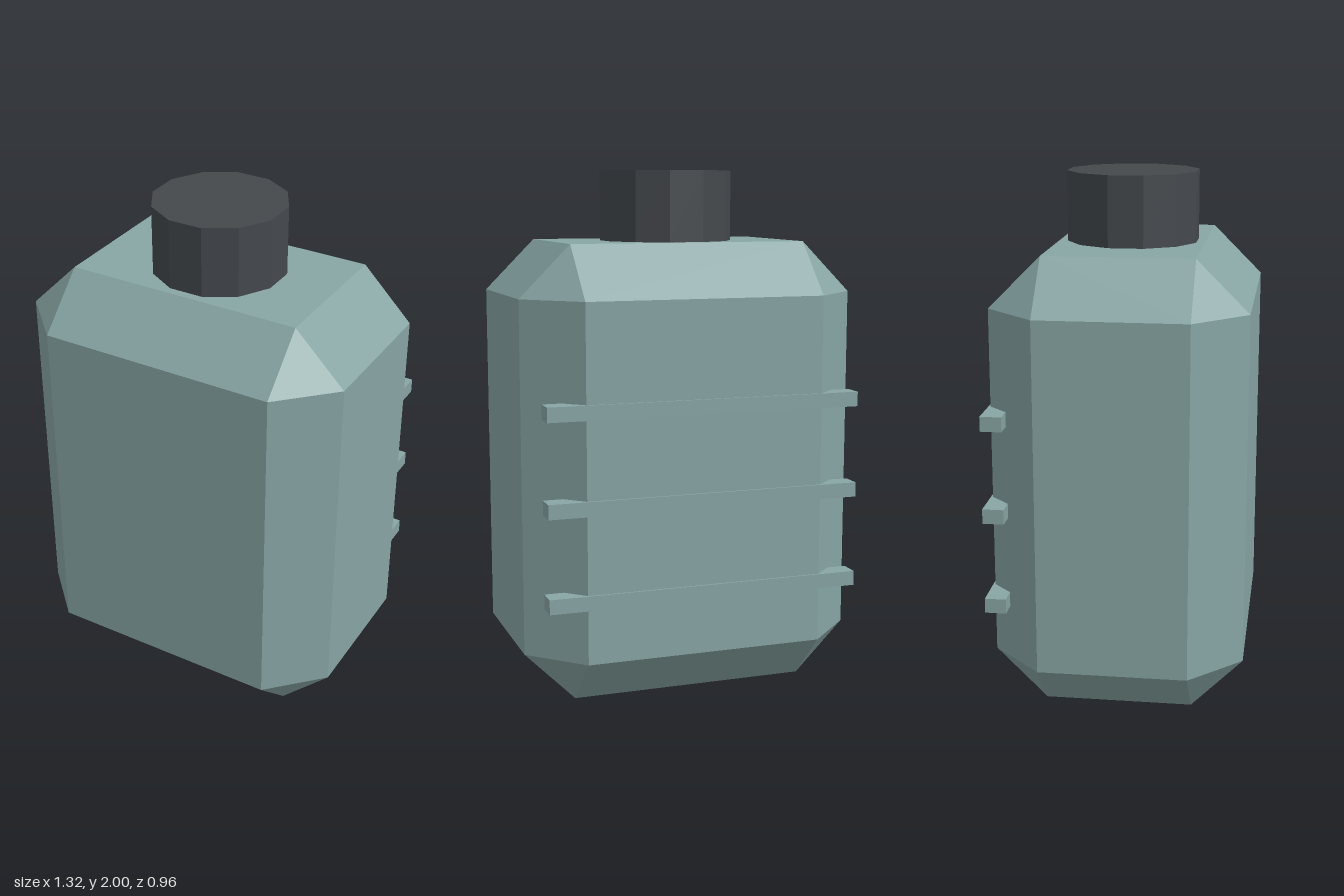
import * as THREE from 'three';
import { ConvexGeometry } from 'three/addons/geometries/ConvexGeometry.js';

// Box with every edge cut at 45 degrees, leaving triangular corners
function chamferedBox(w, h, d, cut) {
  const [x, y, z] = [w / 2, h / 2, d / 2];
  const points = [];
  for (const sx of [-1, 1]) for (const sy of [-1, 1]) for (const sz of [-1, 1]) {
    points.push(
      new THREE.Vector3(sx * x, sy * (y - cut), sz * (z - cut)),
      new THREE.Vector3(sx * (x - cut), sy * y, sz * (z - cut)),
      new THREE.Vector3(sx * (x - cut), sy * (y - cut), sz * z)
    );
  }
  return new ConvexGeometry(points);
}

export function createModel() {
  const group = new THREE.Group();
  group.name = 'canteen';
  const shell = new THREE.MeshStandardMaterial({ color: 0x87a5a4, flatShading: true });
  shell.name = 'grey green shell';
  const dark = new THREE.MeshStandardMaterial({ color: 0x44484c, flatShading: true });
  dark.name = 'dark grey cap';

  const add = (name, geometry, material, x, y, z) => {
    const mesh = new THREE.Mesh(geometry, material);
    mesh.name = name;
    mesh.position.set(x, y, z);
    group.add(mesh);
    return mesh;
  };

  // Faceted body
  add('body', chamferedBox(1.318, 1.732, 0.954, 0.196), shell, 0, 0.866, 0.004);

  // Twelve-sided screw cap with flats facing the axes
  const cap = add('cap', new THREE.CylinderGeometry(0.256, 0.256, 0.27, 12), dark, 0, 1.865, 0.004);
  cap.rotation.y = Math.PI / 12;

  // Horizontal ribs across the back
  const rib = new THREE.BoxGeometry(1.22, 0.056, 0.08);
  for (let i = 0; i < 3; i++) {
    add('backRib' + (i + 1), rib, shell, 0, 0.433 + i * 0.353, -0.441);
  }
  return group;
}
